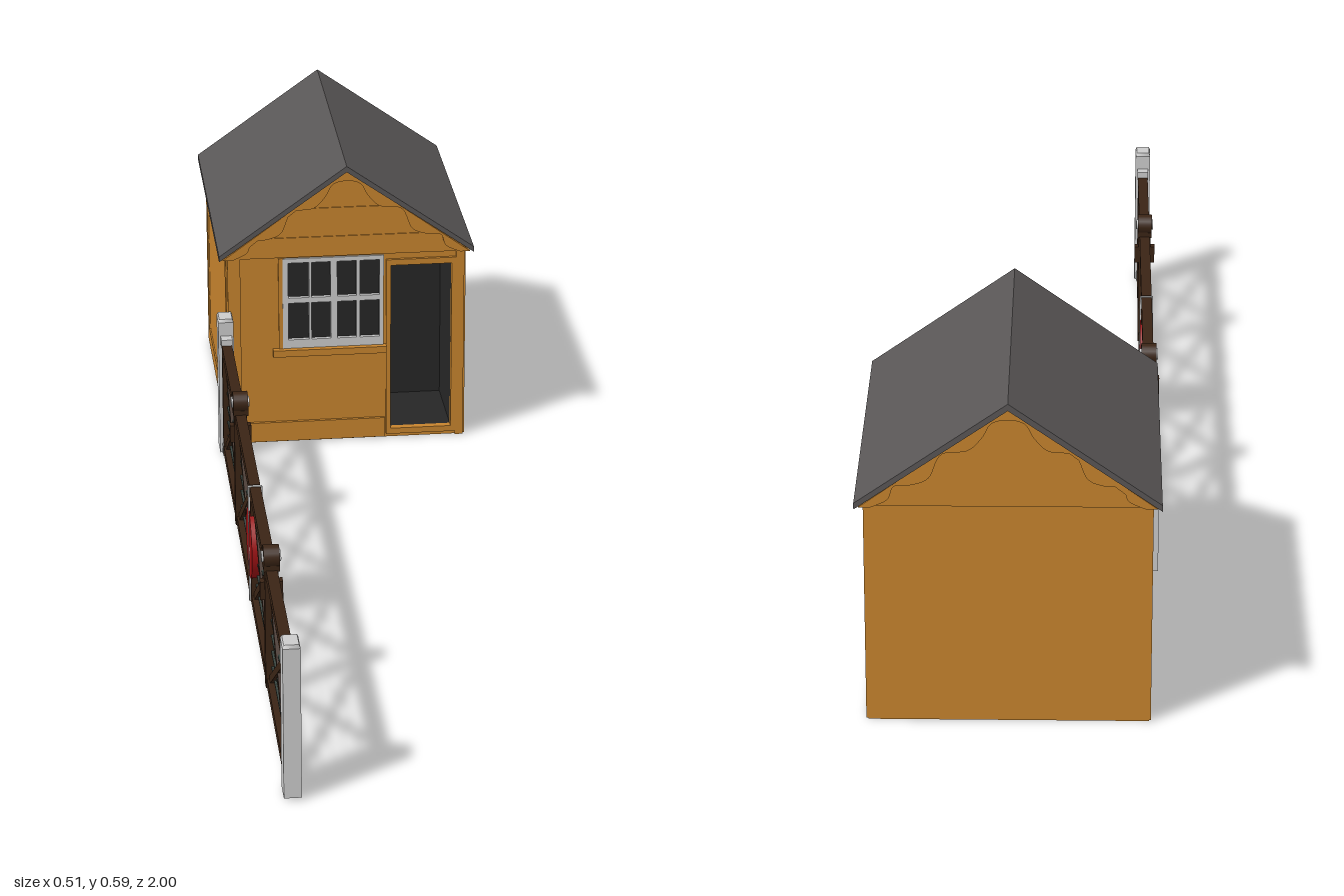
import * as THREE from 'three';

const mat = (color) => new THREE.MeshStandardMaterial({ color, side: THREE.DoubleSide });
const wood = mat(0xc6832d), slate = mat(0x595656), dark = mat(0x262626);
const grey = mat(0xcccccc), timber = mat(0x3a2415), red = mat(0x9c1214), wire = mat(0x39443f);

function add(parent, name, geometry, material) {
  const mesh = new THREE.Mesh(geometry, material);
  mesh.name = name;
  parent.add(mesh);
  return mesh;
}

// Box given by its minimum and maximum along each axis
function box(parent, name, material, x0, x1, y0, y1, z0, z1) {
  const mesh = add(parent, name, new THREE.BoxGeometry(x1 - x0, y1 - y0, z1 - z0), material);
  mesh.position.set((x0 + x1) / 2, (y0 + y1) / 2, (z0 + z1) / 2);
  return mesh;
}

const polygon = (pts) => new THREE.Shape(pts.map(([x, y]) => new THREE.Vector2(x, y)));
const rect = (x0, x1, y0, y1) => polygon([[x0, y0], [x1, y0], [x1, y1], [x0, y1]]);

// Flat slab from a front outline, between z0 and z1
function slab(parent, name, material, shape, z0, z1) {
  const geo = new THREE.ExtrudeGeometry(shape, { depth: z1 - z0, bevelEnabled: false, curveSegments: 6 });
  add(parent, name, geo, material).position.z = z0;
}

const CX = 0.004;                    // ridge line of the hut
const X0 = -0.23, X1 = 0.238;        // outer side walls
const ZF = -0.437, ZB = -0.978;      // front and back wall planes
const T = 0.008;                     // wall thickness

function frontWall(hut) {
  const wall = rect(X0, X1, 0.002, 0.4);
  wall.holes.push(rect(-0.12, 0.076, 0.207, 0.393), rect(0.092, 0.213, 0.022, 0.373));
  slab(hut, 'frontWall', wood, wall, ZF - T, ZF);

  // Raised frame boards
  const z = ZF + 0.004;
  box(hut, 'cornerBoard', wood, X0, -0.205, 0.002, 0.4, ZF, z);
  box(hut, 'cornerBoard', wood, 0.222, X1, 0.002, 0.4, ZF, z);
  box(hut, 'skirtingBoard', wood, -0.205, 0.08, 0.004, 0.038, ZF, z);
  box(hut, 'skirtingCap', wood, -0.205, 0.08, 0.038, 0.046, ZF, z + 0.002);
  box(hut, 'windowSideBoard', wood, -0.13, -0.12, 0.2, 0.396, ZF, z);
  box(hut, 'windowSill', wood, -0.142, 0.083, 0.19, 0.204, ZF, ZF + 0.014);
  const frame = rect(0.083, 0.222, 0.01, 0.385);
  frame.holes.push(rect(0.092, 0.213, 0.022, 0.373));
  slab(hut, 'doorFrame', wood, frame, ZF, z + 0.002);

  // Window: two rows of four panes
  const sash = rect(-0.122, 0.078, 0.205, 0.395);
  for (const [x0, x1] of [[-0.111, -0.07], [-0.065, -0.027], [-0.014, 0.024], [0.031, 0.07]])
    for (const [y0, y1] of [[0.223, 0.301], [0.312, 0.386]]) sash.holes.push(rect(x0, x1, y0, y1));
  slab(hut, 'windowFrame', grey, sash, ZF - T, ZF + 0.005);
  box(hut, 'windowGlass', dark, -0.118, 0.074, 0.21, 0.39, ZF - 0.006, ZF - 0.003);

  // Dark recess behind the doorway
  const zr = ZF - 0.17;
  box(hut, 'doorwayFloor', dark, 0.09, 0.215, 0.018, 0.022, zr, ZF - T);
  box(hut, 'doorwayCeiling', dark, 0.09, 0.215, 0.373, 0.377, zr, ZF - T);
  box(hut, 'doorwayBack', dark, 0.09, 0.215, 0.018, 0.377, zr - 0.004, zr);
  for (const x of [0.088, 0.213]) box(hut, 'doorwaySide', dark, x, x + 0.004, 0.018, 0.377, zr, ZF - T);
}

function sideWall(hut, x, s) {
  const inner = x - s * T;
  box(hut, 'sideWall', wood, Math.min(x, inner), Math.max(x, inner), 0.002, 0.412, ZB, ZF);
  // Framed panel on the outside
  const out = x + s * 0.003, a = Math.min(x, out), b = Math.max(x, out);
  box(hut, 'sideSkirting', wood, a, b, 0.004, 0.038, ZB, ZF);
  box(hut, 'sideTopBoard', wood, a, b, 0.375, 0.405, ZB, ZF);
  box(hut, 'sideBoard', wood, a, b, 0.038, 0.375, ZB, ZB + 0.03);
  box(hut, 'sideBoard', wood, a, b, 0.038, 0.375, ZF - 0.03, ZF);
}

// Scalloped board under the roof edge
function bargeboard(hut, z0, z1) {
  const half = [[0.224, 0.4], [0.196, 0.414], [0.185, 0.438], [0.155, 0.441], [0.128, 0.454], [0.108, 0.495],
    [0.066, 0.502], [0.042, 0.525], [0.027, 0.55]];
  const edge = [...half, [0, 0.557], ...half.map(([x, y]) => [-x, y]).reverse()];
  const shape = new THREE.Shape();
  shape.moveTo(CX - 0.244, 0.4);
  shape.lineTo(CX, 0.577);
  shape.lineTo(CX + 0.244, 0.4);
  shape.lineTo(CX + 0.224, 0.4);
  shape.splineThru(edge.slice(1).map(([x, y]) => new THREE.Vector2(CX + x, y)));
  slab(hut, 'bargeboard', wood, shape, z0, z1);
}

function createHut() {
  const hut = new THREE.Group();
  hut.name = 'hut';
  frontWall(hut);
  sideWall(hut, X0, -1);
  sideWall(hut, X1, 1);
  box(hut, 'backWall', wood, X0, X1, 0.002, 0.4, ZB, ZB + T);

  const gable = polygon([[CX - 0.24, 0.398], [CX + 0.24, 0.398], [CX, 0.575]]);
  slab(hut, 'frontGable', wood, gable, ZF - T, ZF + 0.005);
  slab(hut, 'backGable', wood, gable, ZB - 0.005, ZB + T);
  for (const y of [0.438, 0.498]) {
    const w = (0.57 - y) / 0.73;
    box(hut, 'gableBatten', wood, CX - w, CX + w, y, y + 0.002, ZF + 0.005, ZF + 0.007);
  }
  bargeboard(hut, ZF + 0.005, -0.423);
  bargeboard(hut, -0.994, ZB - 0.005);

  // Two-sided pitched roof
  const roof = polygon([[CX - 0.251, 0.399], [CX, 0.576], [CX + 0.251, 0.399],
    [CX + 0.251, 0.41], [CX, 0.588], [CX - 0.251, 0.41]]);
  slab(hut, 'roof', slate, roof, -1, -0.42);
  return hut;
}

const GX = -0.238;                   // plane of the gate

// Straight timber between two (z, y) points in the gate plane
function bar(parent, name, material, z0, y0, z1, y1, height, depth) {
  const dz = z1 - z0, dy = y1 - y0;
  const mesh = add(parent, name, new THREE.BoxGeometry(depth, height, Math.hypot(dz, dy)), material);
  mesh.position.set(GX, (y0 + y1) / 2, (z0 + z1) / 2);
  mesh.rotation.x = -Math.atan2(dy, dz);
}

// One leaf: frame, two crossed bays, wires and a lamp on the middle post
function gateLeaf(z0, z1) {
  const leaf = new THREE.Group(), mid = (z0 + z1) / 2;
  leaf.name = 'gateLeaf';
  bar(leaf, 'topRail', timber, z0, 0.236, z1, 0.236, 0.018, 0.02);
  bar(leaf, 'bottomRail', timber, z0, 0.024, z1, 0.024, 0.018, 0.02);
  for (const z of [z0 + 0.007, z1 - 0.007]) bar(leaf, 'stile', timber, z, 0.015, z, 0.245, 0.014, 0.02);
  bar(leaf, 'middlePost', timber, mid, 0.015, mid, 0.25, 0.022, 0.024);
  box(leaf, 'postCollar', timber, GX - 0.02, GX + 0.02, 0.186, 0.22, mid - 0.008, mid + 0.008);
  for (const [a, b] of [[z0 + 0.012, mid - 0.01], [mid + 0.01, z1 - 0.012]]) {
    bar(leaf, 'brace', timber, a, 0.03, b, 0.23, 0.014, 0.012);
    bar(leaf, 'brace', timber, a, 0.23, b, 0.03, 0.014, 0.011);
  }
  for (let i = 0; i < 6; i++) {
    const y = 0.055 + i * 0.031;
    bar(leaf, 'wire', wire, z0, y, z1, y, 0.004, 0.004);
  }
  // Lamp with a round lens on both faces
  box(leaf, 'lampBase', timber, GX - 0.014, GX + 0.014, 0.243, 0.266, mid - 0.016, mid + 0.016);
  for (const [name, r, w, m] of [['lampBody', 0.02, 0.028, timber], ['lampLens', 0.01, 0.034, grey]]) {
    const lamp = add(leaf, name, new THREE.CylinderGeometry(r, r, w, 20), m);
    lamp.rotation.z = Math.PI / 2;
    lamp.position.set(GX, 0.266, mid);
  }
  return leaf;
}

function createGate() {
  const gate = new THREE.Group();
  gate.name = 'gate';
  gate.add(gateLeaf(-0.37, 0.279), gateLeaf(0.289, 0.94));

  // Round red target where the leaves meet
  const disc = add(gate, 'targetDisc', new THREE.CylinderGeometry(0.065, 0.065, 0.024, 32), red);
  disc.rotation.z = Math.PI / 2;
  disc.position.set(GX, 0.132, 0.284);
  box(gate, 'meetingStrip', grey, GX - 0.013, GX + 0.013, 0.015, 0.245, 0.281, 0.287);

  // Gate posts with shallow caps and hinge brackets
  for (const [z0, z1, s] of [[-0.43, -0.386, 1], [0.956, 1, -1]]) {
    box(gate, 'gatePost', grey, -0.253, -0.223, 0.007, 0.285, z0, z1);
    const cap = add(gate, 'postCap', new THREE.CylinderGeometry(0.6, 0.707, 0.006, 4).rotateY(Math.PI / 4), grey);
    cap.scale.set(0.03, 1, z1 - z0);
    cap.position.set(GX, 0.288, (z0 + z1) / 2);
    const face = s > 0 ? z1 : z0, end = face + s * 0.022;
    for (const y of [0.01, 0.24])
      box(gate, 'hinge', grey, GX - 0.011, GX + 0.011, y, y + 0.017, Math.min(face, end), Math.max(face, end));
  }
  return gate;
}

export function createModel() {
  const model = new THREE.Group();
  model.name = 'crossingHutAndGate';
  model.add(createHut(), createGate());
  return model;
}
